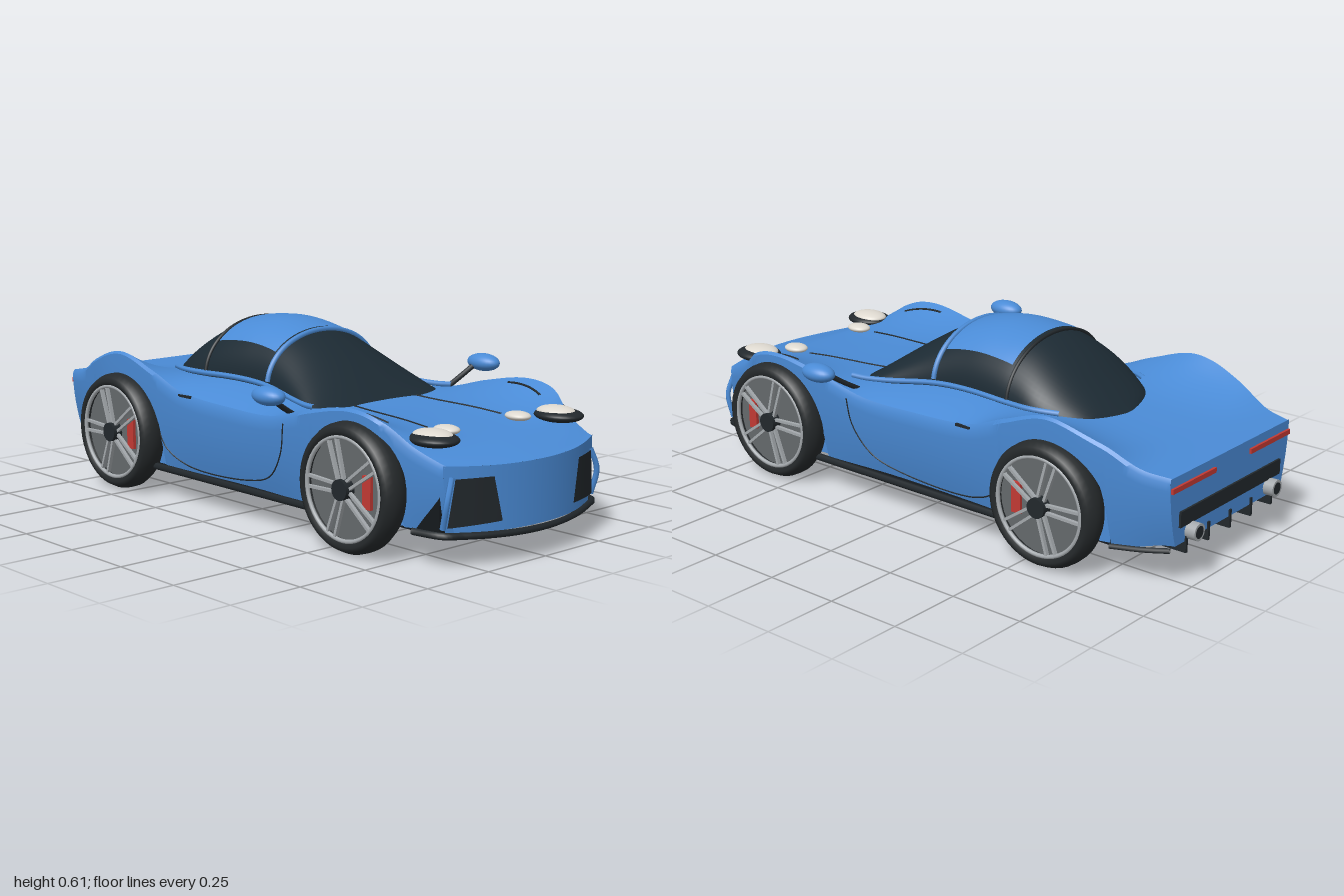
import * as THREE from 'three';
import { toCreasedNormals } from 'three/addons/utils/BufferGeometryUtils.js';
import { ParametricGeometry } from 'three/addons/geometries/ParametricGeometry.js';

const mat = (color, side = THREE.FrontSide) => new THREE.MeshStandardMaterial({ color, side });
const paint = mat(0x4a8bd6), paint2 = mat(0x4a8bd6, THREE.DoubleSide);
const glass = mat(0x1c2a33, THREE.DoubleSide), dark = mat(0x22282c, THREE.DoubleSide);
const rubber = mat(0x25292b, THREE.DoubleSide), floorMat = mat(0x15191d);
const discMat = mat(0x65696c), alloy = mat(0xa4a9ad), red = mat(0xc23a34), lens = mat(0xded9d0);
const V = (x, y, z) => new THREE.Vector3(x, y, z);
const smooth = THREE.MathUtils.smoothstep;

// Smooth interpolation through [x, value] points
function curve(p) {
  const slope = i => {
    const a = p[Math.max(i - 1, 0)], b = p[Math.min(i + 1, p.length - 1)];
    return (b[1] - a[1]) / (b[0] - a[0]);
  };
  return x => {
    let i = 0;
    while (i < p.length - 2 && x > p[i + 1][0]) i++;
    const h = p[i + 1][0] - p[i][0], t = THREE.MathUtils.clamp((x - p[i][0]) / h, 0, 1), s = 1 - t;
    return p[i][1] * (1 + 2 * t) * s * s + p[i + 1][1] * t * t * (3 - 2 * t)
      + h * t * s * (slope(i) * s - slope(i + 1) * t);
  };
}

// Body rules along the length: half width, fender edge height, centre height, underside
const REAR = -0.965, NOSE = 0.985, AXLES = [-0.57, 0.59], R = 0.2;
const width = curve([[-0.97, 0.33], [-0.8, 0.37], [-0.65, 0.4], [-0.45, 0.4], [-0.2, 0.39], [0.1, 0.385], [0.4, 0.4], [0.7, 0.4], [0.85, 0.365], [0.98, 0.335]]);
const edge = curve([[-0.97, 0.355], [-0.87, 0.37], [-0.75, 0.43], [-0.57, 0.48], [-0.4, 0.43], [-0.25, 0.37], [0, 0.35], [0.2, 0.355], [0.4, 0.41], [0.58, 0.44], [0.75, 0.41], [0.87, 0.35], [0.98, 0.305]]);
const centre = curve([[-0.97, 0.355], [-0.75, 0.37], [-0.58, 0.385], [-0.4, 0.4], [-0.2, 0.425], [0, 0.42], [0.2, 0.395], [0.32, 0.375], [0.6, 0.36], [0.8, 0.34], [0.9, 0.315], [0.98, 0.295]]);
const under = x => 0.1 + 0.035 * (1 - smooth(x, -0.965, -0.78));
const arch = x => AXLES.reduce((y, a) => Math.abs(x - a) < R ? R + Math.sqrt(R * R - (x - a) ** 2) : y, under(x));
const topY = (x, z) => centre(x) + (edge(x) - centre(x)) * Math.min(Math.abs(z) / width(x), 1) ** 3;
const sideZ = (x, y) => {
  const v = THREE.MathUtils.clamp((y - under(x)) / (edge(x) - under(x)), 0, 1);
  return width(x) - 0.035 * (1 - v) ** 2;
};
const sweep = (x, z) => x - 0.8 * z * z * smooth(x, 0.6, 0.98);

// One closed body section, running from -z over the top to +z and back underneath
function section(x) {
  const half = [], w = width(x), e = edge(x), a = arch(x), inner = Math.min(0.345, w - 0.05);
  half.push([inner, under(x)], [inner, a]);
  for (let i = 0; i <= 8; i++) {
    const y = a + (e - 0.014 - a) * i / 8;
    half.push([sideZ(x, y), y]);
  }
  for (let i = 0; i < 12; i++) {
    const z = (w - 0.008) * (1 - i / 12);
    half.push([z, topY(x, z)]);
  }
  const ring = [...half.map(([z, y]) => [-z, y]), [0, centre(x)], ...half.reverse()];
  return [...ring, ring[0]];
}

// Cabin rules
const cabinW = curve([[-0.585, 0.06], [-0.55, 0.16], [-0.5, 0.21], [-0.4, 0.25], [-0.29, 0.248], [0.02, 0.24], [0.32, 0.305]]);
const cabinH = curve([[-0.585, 0.385], [-0.5, 0.455], [-0.4, 0.53], [-0.3, 0.583], [-0.2, 0.6], [-0.1, 0.6], [0.02, 0.572], [0.17, 0.49], [0.325, 0.38]]);
function cabinPoint(x, angle, lift = 0) {
  const base = centre(x) - 0.03, s = Math.max(Math.sin(angle), 0);
  return V(x, base + (cabinH(x) - base + lift) * s ** 0.85, -(cabinW(x) + lift) * Math.cos(angle));
}

function surface(fn, nu, nv, crease = 0.6) {
  const g = new ParametricGeometry((u, v, t) => t.copy(fn(u, v)), nu, nv);
  g.deleteAttribute('normal');
  return toCreasedNormals(g, crease);
}
const tube = (pts, r, n = 40) => new THREE.TubeGeometry(new THREE.CatmullRomCurve3(pts), n, r, 6);
const range = (n, a, b, fn) => Array.from({ length: n + 1 }, (_, i) => fn(a + (b - a) * i / n));

export function createModel() {
  const car = new THREE.Group();
  car.name = 'sportsCar';
  const add = (name, geo, m, x = 0, y = 0, z = 0, parent = car) => {
    const mesh = new THREE.Mesh(geo, m);
    mesh.name = name;
    mesh.position.set(x, y, z);
    parent.add(mesh);
    return mesh;
  };
  const ball = (name, m, x, y, z, rx, ry, rz) =>
    add(name, new THREE.SphereGeometry(1, 28, 18), m, x, y, z).scale.set(rx, ry, rz);

  // Body shell with wheel arches, closed by nose and tail panels
  const count = section(0).length - 1, cache = new Map();
  const ringAt = x => cache.get(x) ?? cache.set(x, section(x)).get(x);
  add('bodyShell', surface((u, v) => {
    const x = REAR + (NOSE - REAR) * v, [z, y] = ringAt(x)[Math.min(Math.round(u * count), count)];
    return V(sweep(x, z), y, z);
  }, count, 160), paint2);
  const panel = (x, s, t) => {
    const y = under(x) + (topY(x, s * width(x)) - under(x)) * t, z = s * sideZ(x, y);
    return V(sweep(x, z), y, z);
  };
  add('nosePanel', surface((u, v) => panel(NOSE, v * 2 - 1, u), 8, 24), paint);
  add('tailPanel', surface((u, v) => panel(REAR, u * 2 - 1, v), 24, 8), paint);

  // Dark floor and inner wheel wells
  add('floor', new THREE.BoxGeometry(1.66, 0.16, 0.66), floorMat, 0.05, 0.172, 0);
  add('floorPan', new THREE.BoxGeometry(0.74, 0.012, 0.74), floorMat, 0.01, 0.096, 0);

  // Cabin glass, roof panel and hoops
  add('cabinGlass', surface((u, v) => cabinPoint(-0.585 + 0.91 * v, Math.PI * u), 36, 50), glass);
  add('roofPanel', surface((u, v) => cabinPoint(-0.275 + 0.28 * v, 0.66 + (Math.PI - 1.32) * u, 0.006), 28, 12), paint2);
  for (const x of [-0.29, 0.02])
    add('roofHoop', tube(range(24, 0.15, Math.PI - 0.15, a => cabinPoint(x, a, 0.004)), x > 0 ? 0.009 : 0.006, 60), x > 0 ? paint : dark);

  // Front splitter follows the nose curve
  const lip = range(12, -0.335, 0.335, z => V(sweep(NOSE, z) + 0.004, 0.088 + 0.1 * z * z, z));
  add('frontSplitter', tube([V(0.8, 0.1, -0.36), ...lip, V(0.8, 0.1, 0.36)], 0.011, 70), dark);

  // Rear grille and diffuser fins
  add('rearGrille', new THREE.BoxGeometry(0.012, 0.05, 0.56), dark, -0.966, 0.215, 0);
  for (const z of [-0.24, -0.12, 0, 0.12, 0.24])
    add('diffuserFin', new THREE.BoxGeometry(0.15, 0.06, 0.01), dark, -0.895, 0.128, z);

  for (const s of [1, -1]) {
    // Window sill rail and side skirt
    add('sillRail', tube(range(20, -0.48, 0.32, x => V(x, topY(x, cabinW(x)) + 0.012, s * (cabinW(x) + 0.004))), 0.009), paint);
    add('sideSkirt', tube(range(8, -0.4, 0.42, x => V(x, 0.1, s * 0.385)), 0.012), dark);
    add('rearSkirt', tube([V(-0.95, 0.118, s * 0.3), V(-0.87, 0.108, s * 0.325), V(-0.77, 0.1, s * 0.35)], 0.009, 8), dark);

    // Headlamps in dark housings
    ball('headlampHousing', dark, 0.805, 0.362, s * 0.28, 0.083, 0.022, 0.07);
    ball('headlamp', lens, 0.798, 0.372, s * 0.276, 0.068, 0.02, 0.052);
    ball('smallLamp', lens, 0.742, 0.365, s * 0.16, 0.045, 0.015, 0.036);

    // Nose vent with painted frame
    const vent = (u, v, lift) => {
      const z = THREE.MathUtils.lerp(0.16 + 0.03 * v, 0.325 - 0.02 * v, u);
      return V(sweep(NOSE, z) + lift, THREE.MathUtils.lerp(0.13 - 0.008 * u, 0.265, v), s * z);
    };
    add('noseVent', surface((u, v) => vent(u, v, 0.006), 8, 4), dark);
    add('ventBlade', tube([vent(1.05, -0.02, 0), V(0.915, 0.2, s * 0.337), vent(1.06, 1.03, 0)], 0.009, 12), paint);

    // Mirror on a stalk
    add('mirrorStalk', tube([V(0.26, 0.365, s * 0.34), V(0.27, 0.4, s * 0.4), V(0.285, 0.44, s * 0.46)], 0.009, 10), dark);
    ball('mirror', paint, 0.305, 0.447, s * 0.481, 0.065, 0.03, 0.04);

    // Tail lamp and exhaust
    add('tailLamp', new THREE.BoxGeometry(0.014, 0.016, 0.23), red, -0.966, 0.318, s * 0.213);
    const pipe = add('exhaust', new THREE.CylinderGeometry(0.028, 0.028, 0.08, 20), alloy, -0.96, 0.165, s * 0.22);
    pipe.rotation.z = Math.PI / 2;
    const bore = add('exhaustBore', new THREE.CylinderGeometry(0.02, 0.02, 0.01, 20), dark, -0.9955, 0.165, s * 0.22);
    bore.rotation.z = Math.PI / 2;

    // Door seam, handle, bonnet seam and fender slit
    const door = new THREE.CatmullRomCurve3([V(0.27, 0.345, 0), V(0.25, 0.25, 0), V(0.18, 0.16, 0), V(0.05, 0.122, 0), V(-0.25, 0.122, 0), V(-0.35, 0.17, 0), V(-0.38, 0.23, 0)]);
    add('doorSeam', tube(door.getPoints(40).map(p => V(p.x, p.y, s * sideZ(p.x, p.y))), 0.0025, 80), dark);
    add('doorHandle', new THREE.BoxGeometry(0.06, 0.008, 0.012), dark, -0.23, 0.362, s * 0.385);
    const onTop = (x, z) => V(sweep(x, z), topY(x, z) + 0.001, s * z);
    add('bonnetSeam', tube(range(8, 0, 1, t => onTop(0.32 + 0.35 * t, 0.14 + 0.025 * t)), 0.003), dark);
    add('fenderSlit', tube(range(8, 0, 1, t => onTop(0.52 + 0.17 * t, 0.365 - 0.025 * t * t)), 0.004), dark);

    // Wheels
    for (const ax of AXLES) {
      const wheel = new THREE.Group();
      wheel.name = ax > 0 ? 'frontWheel' : 'rearWheel';
      wheel.position.set(ax, R, s * 0.402);
      car.add(wheel);
      const profile = [[0.16, -0.04], [0.175, -0.047], [0.188, -0.04], [0.199, -0.018], [0.2, 0], [0.199, 0.018], [0.188, 0.04], [0.175, 0.047], [0.16, 0.04], [0.157, 0], [0.16, -0.04]];
      add('tyre', new THREE.LatheGeometry(profile.map(p => new THREE.Vector2(...p)), 48).rotateX(Math.PI / 2), rubber, 0, 0, 0, wheel);
      const cyl = (r, h) => new THREE.CylinderGeometry(r, r, h, 32).rotateX(Math.PI / 2);
      add('brakeDisc', cyl(0.158, 0.02), discMat, 0, 0, s * 0.01, wheel);
      add('wheelBack', cyl(0.158, 0.02), dark, 0, 0, -s * 0.025, wheel);
      add('rimRing', new THREE.TorusGeometry(0.157, 0.007, 8, 48), alloy, 0, 0, s * 0.037, wheel);
      add('hub', cyl(0.032, 0.04), dark, 0, 0, s * 0.034, wheel);
      add('caliper', new THREE.BoxGeometry(0.034, 0.1, 0.014), red, 0.093, 0.004, s * 0.024, wheel);
      for (let i = 0; i < 5; i++) for (const d of [-1, 1]) {
        const spoke = add('spoke', new THREE.BoxGeometry(0.009, 0.13, 0.012).translate(d * 0.011, 0.092, 0), alloy, 0, 0, s * 0.036, wheel);
        spoke.rotation.z = i * Math.PI * 0.4 + 0.3 - d * 0.04;
      }
    }
  }
  return car;
}
